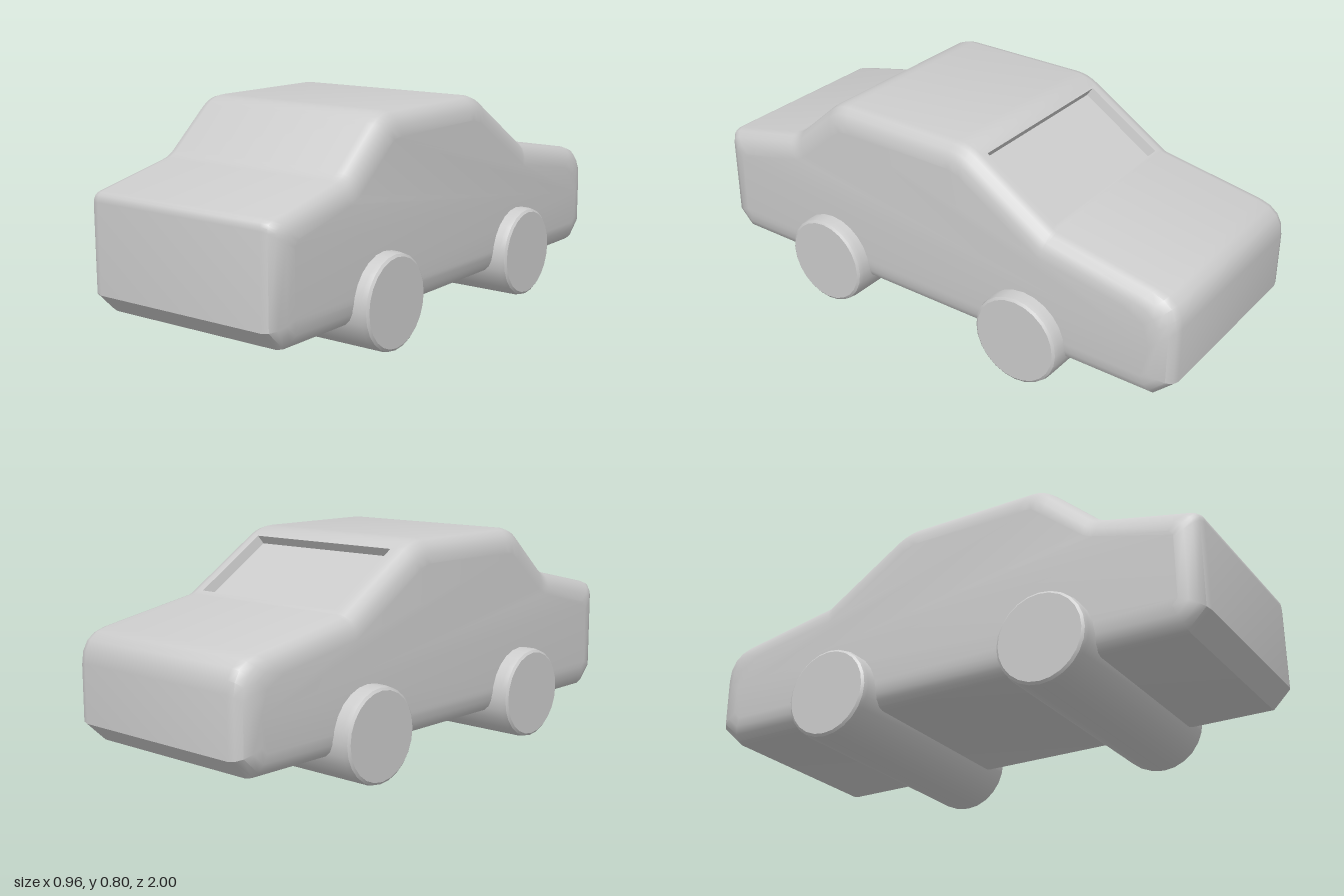
import * as THREE from 'three';
import { toCreasedNormals } from 'three/addons/utils/BufferGeometryUtils.js';

// Side outline corners: z, y, rounding distance (0 = sharp)
const CORNERS = [
  [0.93, 0.11, 0], [1, 0.18, 0], [1, 0.53, 0.03], [0.64, 0.61, 0.03],
  [0.425, 0.8, 0.05], [-0.155, 0.8, 0.05], [-0.505, 0.578, 0.01],
  [-1, 0.49, 0.1], [-1, 0.18, 0], [-0.925, 0.11, 0],
];
const STEPS = 4;

// Outline moved inwards by d, with its corners rounded
function outline(d) {
  const n = CORNERS.length;
  const pts = CORNERS.map(([z, y]) => new THREE.Vector2(z, y));
  const inward = pts.map((p, i) => {
    const e = pts[(i + 1) % n].clone().sub(p).normalize();
    return new THREE.Vector2(-e.y, e.x);
  });
  const moved = pts.map((p, i) => {
    const a = inward[(i + n - 1) % n], b = inward[i];
    return a.clone().add(b).multiplyScalar(d / (1 + a.dot(b))).add(p);
  });
  return moved.flatMap((p, i) => {
    const cut = CORNERS[i][2];
    if (!cut) return [p];
    const toward = (q) => q.clone().sub(p).setLength(cut).add(p);
    const curve = new THREE.QuadraticBezierCurve(
      toward(moved[(i + n - 1) % n]), p, toward(moved[(i + 1) % n]));
    return curve.getPoints(STEPS);
  });
}

function bodyGeometry() {
  const pos = [];
  const tri = (...v) => v.forEach((p) => pos.push(p.x, p.y, p.z));
  const quad = (a, b, c, d) => { tri(a, b, c); tri(a, c, d); };

  // Cross-sections from the right side to the left, with rounded shoulders
  const rings = [];
  for (const side of [-1, 1]) {
    for (let k = 0; k <= STEPS; k++) {
      const a = (side < 0 ? STEPS - k : k) / STEPS * Math.PI / 2;
      const x = 0.005 + side * (0.355 + 0.065 * Math.sin(a));
      rings.push(outline(0.085 * (1 - Math.cos(a))).map((p) => new THREE.Vector3(x, p.y, p.x)));
    }
  }

  // Skin between sections; the rear slope of the middle strip gets the window
  const n = rings[0].length;
  for (let r = 0; r + 1 < rings.length; r++) {
    for (let i = 0; i < n; i++) {
      const j = (i + 1) % n, A = rings[r], B = rings[r + 1];
      const face = [A[i], B[i], B[j], A[j]];
      const rearSlope = A[i].z > -0.3 && A[j].z < -0.3 && A[i].y > 0.3;
      if (r === STEPS && rearSlope) window(face, quad);
      else quad(...face);
    }
  }

  // Flat sides
  for (const [ring, side] of [[rings[0], -1], [rings[rings.length - 1], 1]]) {
    const flat = ring.map((p) => new THREE.Vector2(-p.z, p.y));
    for (const [a, b, c] of THREE.ShapeUtils.triangulateShape(flat, [])) {
      const turn = flat[b].clone().sub(flat[a]).cross(flat[c].clone().sub(flat[a]));
      if (turn * side > 0) tri(ring[a], ring[b], ring[c]);
      else tri(ring[a], ring[c], ring[b]);
    }
  }

  const g = new THREE.BufferGeometry();
  g.setAttribute('position', new THREE.Float32BufferAttribute(pos, 3));
  return toCreasedNormals(g, 0.6);
}

// Sunken rear window: border, recess walls and pane
function window(face, quad) {
  const [a, , , d] = face;
  const along = d.clone().sub(a);
  const depth = new THREE.Vector3(0, along.z, -along.y).setLength(0.035);
  const at = (x, z) => a.clone().addScaledVector(along, (z - a.z) / along.z).setX(x);
  const rim = [at(-0.325, -0.207), at(0.333, -0.207), at(0.333, -0.488), at(-0.325, -0.488)];
  const pane = rim.map((p) => {
    const q = p.clone().add(depth);
    q.x -= Math.sign(q.x) * 0.008;
    return q;
  });
  for (let i = 0; i < 4; i++) {
    const j = (i + 1) % 4;
    quad(face[i], face[j], rim[j], rim[i]);
    quad(rim[i], rim[j], pane[j], pane[i]);
  }
  quad(...pane);
}

// Full-width roller with softened rims
function wheelGeometry() {
  const half = [[0, 0.48], [0.157, 0.48], [0.166, 0.473], [0.17, 0.455]];
  const profile = [
    ...half.map(([r, y]) => new THREE.Vector2(r, -y)),
    ...half.slice().reverse().map(([r, y]) => new THREE.Vector2(r, y)),
  ];
  const g = new THREE.LatheGeometry(profile, 24).rotateZ(Math.PI / 2);
  return toCreasedNormals(g, 0.6);
}

export function createModel() {
  const group = new THREE.Group();
  const material = new THREE.MeshStandardMaterial({ color: 0xcccccc });

  const body = new THREE.Mesh(bodyGeometry(), material);
  body.name = 'body';
  group.add(body);

  const wheel = wheelGeometry();
  for (const [name, z] of [['frontWheels', 0.45], ['rearWheels', -0.425]]) {
    const mesh = new THREE.Mesh(wheel, material);
    mesh.name = name;
    mesh.position.set(0, 0.17, z);
    group.add(mesh);
  }
  return group;
}
